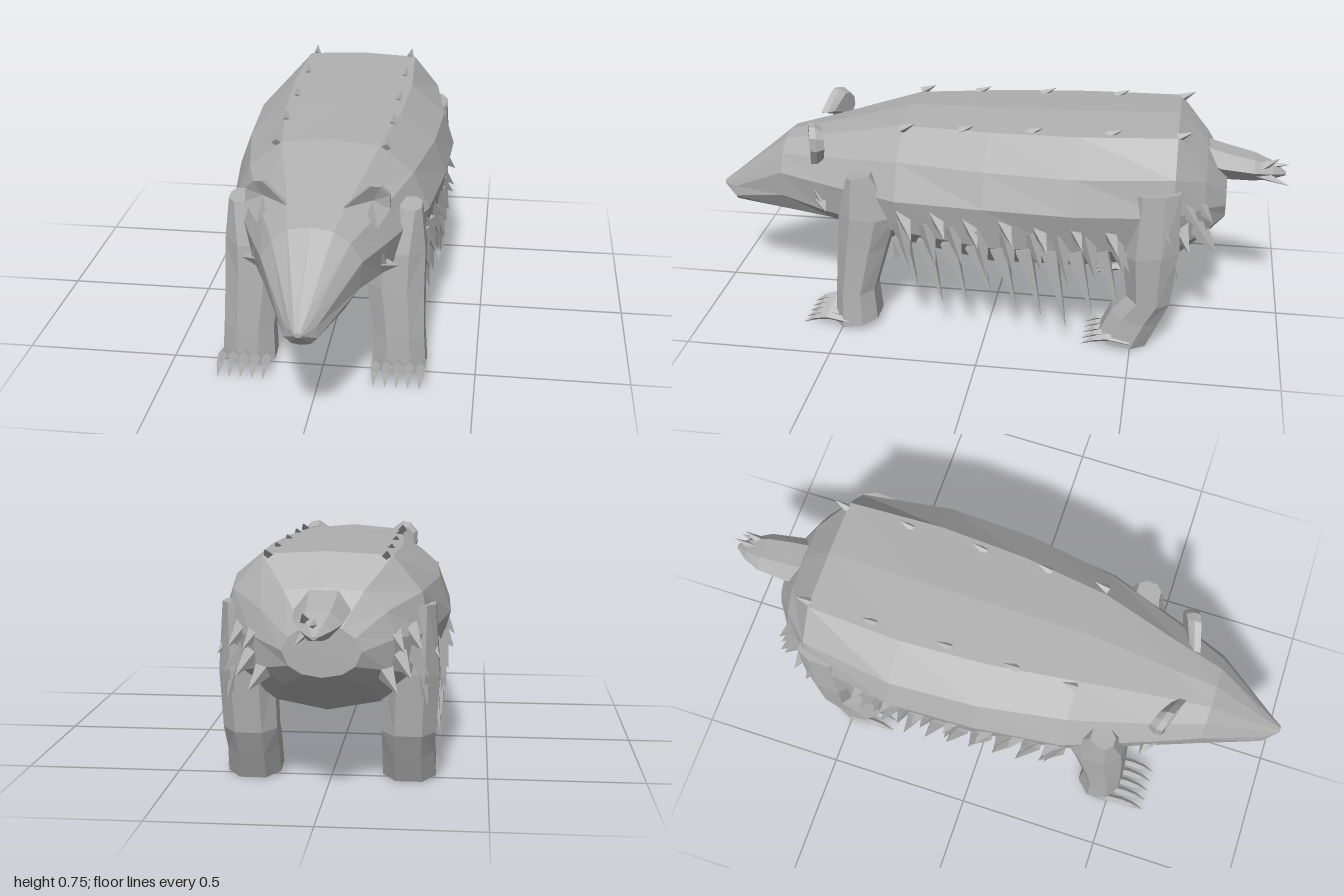
import * as THREE from 'three';

const grey = new THREE.MeshStandardMaterial({ color: 0xb0b0b0, flatShading: true });
grey.name = 'grey';
const V = (x, y, z) => new THREE.Vector3(x, y, z);

// Closed skin over rings of points; capped at both ends, wound outward
function loft(rings, name, cup = V(0, 0, 0)) {
  const n = rings[0].length, pts = rings.flat(), idx = [];
  for (let r = 0; r < rings.length - 1; r++)
    for (let i = 0; i < n; i++) {
      const a = r * n + i, b = r * n + (i + 1) % n;
      idx.push(a, b, b + n, a, b + n, a + n);
    }
  const cap = (r, flip, offset) => {
    const c = V(0, 0, 0);
    rings[r].forEach(p => c.addScaledVector(p, 1 / n));
    const k = pts.push(c.add(offset)) - 1;
    for (let i = 0; i < n; i++) {
      const a = r * n + i, b = r * n + (i + 1) % n;
      idx.push(k, flip ? b : a, flip ? a : b);
    }
  };
  cap(0, true, cup);
  cap(rings.length - 1, false, V(0, 0, 0));
  let volume = 0;
  for (let i = 0; i < idx.length; i += 3)
    volume += pts[idx[i]].dot(V(0, 0, 0).crossVectors(pts[idx[i + 1]], pts[idx[i + 2]]));
  if (volume < 0) idx.reverse();
  const g = new THREE.BufferGeometry().setFromPoints(pts);
  g.setIndex(idx);
  const flat = g.toNonIndexed();
  flat.computeVertexNormals();
  const mesh = new THREE.Mesh(flat, grey);
  mesh.name = name;
  return mesh;
}

// Pointed tuft of fur from a base point to a tip
function spike(base, tip, radius, name, sides = 4) {
  const dir = tip.clone().sub(base);
  const g = new THREE.ConeGeometry(radius, dir.length(), sides);
  g.translate(0, dir.length() / 2, 0);
  const mesh = new THREE.Mesh(g, grey);
  mesh.quaternion.setFromUnitVectors(V(0, 1, 0), dir.normalize());
  mesh.position.copy(base);
  mesh.name = name;
  return mesh;
}

// Body sections: z, top y, five side points (x, y), belly y
const SECTIONS = [
  [1.0, .39, .006, .388, .01, .386, .012, .383, .01, .378, .006, .375, .374],
  [.95, .43, .02, .425, .035, .41, .046, .385, .05, .35, .03, .33, .325],
  [.74, .605, .07, .595, .12, .56, .155, .5, .145, .41, .1, .338, .323],
  [.58, .645, .1, .635, .18, .58, .22, .5, .2, .39, .12, .325, .315],
  [.3, .722, .16, .708, .27, .62, .325, .5, .3, .38, .19, .29, .26],
  [0, .73, .2, .717, .32, .625, .362, .51, .335, .36, .19, .235, .2],
  [-.3, .737, .215, .725, .335, .625, .372, .51, .33, .36, .17, .23, .2],
  [-.62, .745, .2, .735, .29, .625, .315, .5, .28, .37, .16, .28, .25],
  [-.72, .65, .12, .64, .19, .58, .22, .5, .2, .4, .12, .35, .33],
  [-.79, .55, .06, .54, .1, .51, .12, .47, .1, .425, .06, .4, .39],
];
// Value of one section column at any z
function at(z, col) {
  for (let i = 0; i < SECTIONS.length - 1; i++) {
    const a = SECTIONS[i], b = SECTIONS[i + 1];
    if (z <= a[0] && z >= b[0]) return a[col] + (b[col] - a[col]) * (a[0] - z) / (a[0] - b[0]);
  }
  return SECTIONS.at(-1)[col];
}
function body() {
  return loft(SECTIONS.map(s => {
    const side = [0, 1, 2, 3, 4].map(i => [s[2 + 2 * i], s[3 + 2 * i]]);
    return [V(0, s[1], s[0]), ...side.map(p => V(p[0], p[1], s[0])), V(0, s[12], s[0]),
      ...side.reverse().map(p => V(-p[0], p[1], s[0]))];
  }), 'body');
}

// Leg rings: y at back, y at front, inner x, outer x, back z, front z
const FRONT_LEG = [
  [.575, .56, .24, .31, .39, .47], [.42, .42, .15, .325, .31, .505],
  [.3, .3, .14, .325, .345, .515], [.14, .13, .165, .33, .39, .525],
  [.03, .002, .162, .338, .38, .53],
];
const BACK_LEG = [
  [.585, .575, .23, .33, -.64, -.48], [.37, .35, .17, .345, -.645, -.46],
  [.17, .19, .165, .335, -.625, -.48], [.09, .13, .165, .33, -.59, -.43],
  [.002, .03, .165, .335, -.55, -.385],
];
function leg(rows, s, name) {
  const outline = [[.25, 0], [.75, 0], [1, .3], [1, .75], [.72, 1], [.28, 1], [0, .75], [0, .3]];
  return loft(rows.map(([yb, yf, xi, xo, zb, zf]) => outline.map(([u, v]) =>
    V(s * (xi + (xo - xi) * u), yb + (yf - yb) * v, zb + (zf - zb) * v))), name);
}
// Five hooked claws on a foot
function claws(s, z, name) {
  const group = new THREE.Group();
  group.name = name;
  for (let i = 0; i < 5; i++) {
    const x = s * (.183 + i * .035), out = s * (i - 2) * .002;
    const path = [[-.06, .03, .012], [.02, .046, .015], [.065, .036, .011], [.105, .014, .001]];
    group.add(loft(path.map(([dz, y, r]) => [V(x + out - r, y, z + dz), V(x + out, y + r, z + dz),
      V(x + out + r, y, z + dz), V(x + out, y - r, z + dz)]), 'claw'));
  }
  return group;
}

// Cupped ear, thin and turned outward
function ear(s) {
  const outline = [[.087, .635], [.125, .668], [.165, .699], [.195, .695], [.222, .665],
    [.225, .62], [.187, .557], [.155, .605]];
  const ring = (dz, k) => outline.map(([x, y]) =>
    V(s * (.17 + (x - .17) * k), .635 + (y - .635) * k, .655 - x * .35 + dz));
  return loft([ring(.03, 1), ring(.008, 1), ring(-.015, .75)], 'ear', V(0, 0, -.025));
}

function tail() {
  const rings = [[-.68, .615, .085, .05], [-.77, .585, .085, .055], [-.88, .57, .072, .042],
    [-.94, .56, .045, .028], [-.985, .548, .008, .006]];
  return loft(rings.map(([z, y, w, h]) => [V(-w, y, z), V(-w * .5, y + h * .8, z), V(w * .5, y + h * .8, z),
    V(w, y, z), V(w * .45, y - h, z), V(-w * .45, y - h, z)]), 'tail');
}

export function createModel() {
  const model = new THREE.Group();
  model.name = 'animal';
  model.add(body(), tail());
  model.add(spike(V(.03, .56, -.88), V(.055, .525, -1), .025, 'tailTuft'));
  model.add(spike(V(0, .57, -.89), V(.01, .585, -.995), .025, 'tailTuft'));
  model.add(spike(V(.03, .575, -.9), V(.035, .615, -.96), .02, 'tailTuft'));

  for (const s of [1, -1]) {
    const side = s > 0 ? 'left' : 'right';
    model.add(ear(s), leg(FRONT_LEG, s, side + 'FrontLeg'), leg(BACK_LEG, s, side + 'BackLeg'));
    model.add(claws(s, .53, side + 'FrontClaws'), claws(s, -.44, side + 'BackClaws'));

    const fur = new THREE.Group();
    fur.name = side + 'Fur';
    // Long lower fringe
    for (let i = 0; i < 10; i++) {
      const z = .29 - i * .085, w = at(z, 8), drop = [.17, .13, .15, .19, .15, .12, .08, .14, .17, .2][i];
      fur.add(spike(V(s * (w - .015), .36, z), V(s * (w + .012), drop, z - .065), .036, 'lowerTuft'));
    }
    // Middle fringe
    for (let i = 0; i < 11; i++) {
      const z = .29 - i * .09, w = at(z, 8);
      fur.add(spike(V(s * (w - .01), .42, z), V(s * (w + .03), .25 + (i % 3) * .025, z - .04), .036, 'middleTuft'));
    }
    // Short upper tufts standing out from the flank
    for (let i = 0; i < 9; i++) {
      const z = .28 - i * .115, w = at(z, 8);
      fur.add(spike(V(s * (w - .01), .45 + (i % 2) * .015, z), V(s * (w + .05), .375 + (i % 2) * .02, z - .04), .036, 'upperTuft'));
    }
    // Rump and thigh tufts
    for (const [x, y, z] of [[.2, .52, -.69], [.22, .44, -.69], [.25, .52, -.65], [.18, .4, -.71], [.3, .48, -.56]])
      fur.add(spike(V(s * x, y, z), V(s * (x + .045), y - .06, z - .06), .033, 'rumpTuft'));
    // Small tufts along the back
    for (const z of [.3, .1, -.13, -.39, -.62])
      fur.add(spike(V(s * .18, at(z, 3) - .005, z), V(s * .185, at(z, 3) + .02, z - .05), .016, 'backTuft'));
    // Cheek tufts
    fur.add(spike(V(s * .185, .42, .58), V(s * .25, .41, .56), .034, 'cheekTuft'));
    fur.add(spike(V(s * .19, .42, .58), V(s * .205, .47, .61), .028, 'cheekTuft'));
    model.add(fur);
  }
  return model;
}
